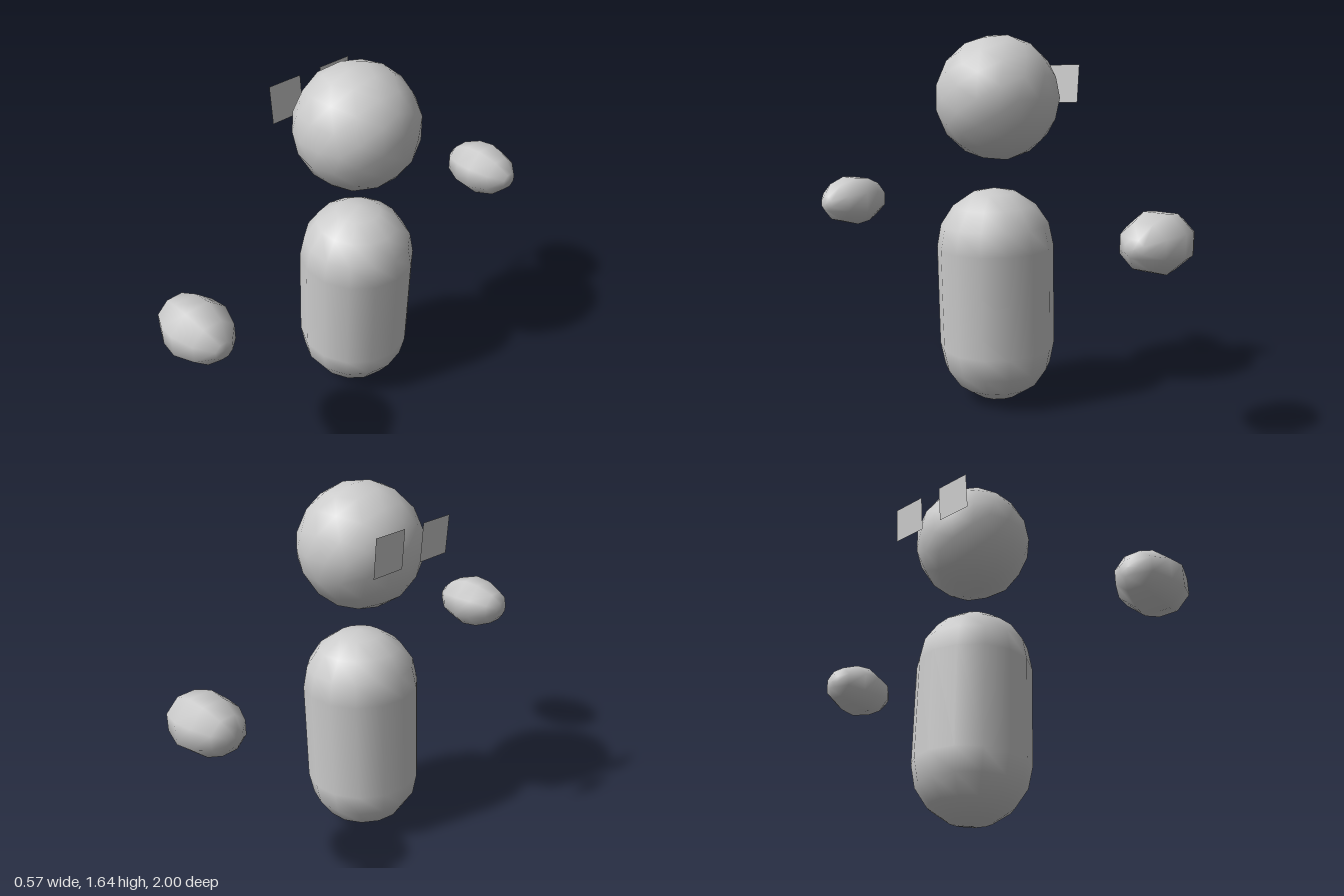
import * as THREE from 'three';
import { mergeVertices } from 'three/addons/utils/BufferGeometryUtils.js';

export function createModel() {
  const model = new THREE.Group();
  model.name = 'floatingFigure';
  const grey = new THREE.MeshStandardMaterial({ color: 0xcccccc });
  const thin = new THREE.MeshStandardMaterial({ color: 0xcccccc, side: THREE.DoubleSide });

  function add(name, geometry, material, x, y, z) {
    const mesh = new THREE.Mesh(geometry, material);
    mesh.name = name;
    mesh.position.set(x, y, z);
    model.add(mesh);
    return mesh;
  }

  // Capsule body, leaning slightly to +x at the top
  const body = add('body', new THREE.CapsuleGeometry(0.262, 0.457, 4, 14), grey, 0.01, 0.49, -0.035);
  body.rotation.z = -0.033;

  // Head: smooth low-poly ball hovering over the body
  const ball = new THREE.IcosahedronGeometry(0.274, 2);
  ball.deleteAttribute('uv');
  const headGeometry = mergeVertices(ball);
  headGeometry.computeVertexNormals();
  const head = add('head', headGeometry, grey, 0.01, 1.375, -0.04);
  head.rotation.y = Math.PI / 2;

  // Hands: eight-sided pebbles lying along x, blunt at both ends
  const profile = [
    [0, -0.178], [0.04, -0.176], [0.085, -0.14], [0.122, -0.06],
    [0.131, 0.02], [0.1, 0.115], [0.04, 0.176], [0, 0.178],
  ].map(([r, h]) => new THREE.Vector2(r, h));
  const handGeometry = new THREE.LatheGeometry(profile, 8, Math.PI / 8);
  handGeometry.rotateZ(-Math.PI / 2);
  handGeometry.scale(1, 0.97, 1.06);
  for (const [name, side] of [['frontHand', 1], ['backHand', -1]]) {
    add(name, handGeometry, grey, 0.057, 0.843, side * 0.87);
  }

  // Eyes: thin square cards in front of the face on the -x side
  const eyeGeometry = new THREE.PlaneGeometry(0.168, 0.168);
  eyeGeometry.rotateY(-Math.PI / 2);
  for (const [name, z] of [['frontEye', 0.095], ['backEye', -0.185]]) {
    const eye = add(name, eyeGeometry, thin, -0.28, 1.435, z);
    eye.rotation.z = 0.075;
  }

  return model;
}
